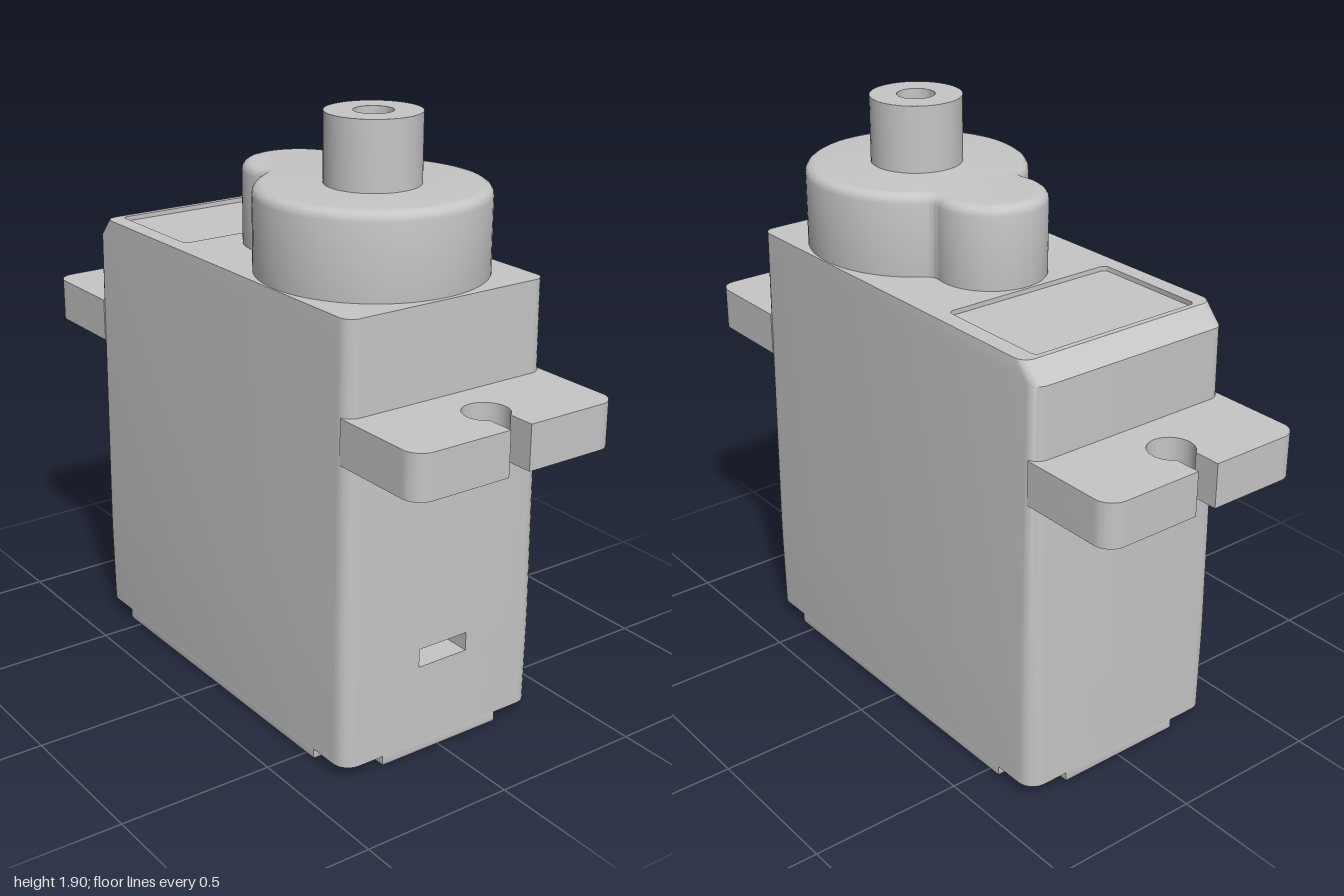
import * as THREE from 'three';
import { toCreasedNormals } from 'three/addons/utils/BufferGeometryUtils.js';

const plastic = new THREE.MeshStandardMaterial({ color: 0xc6c6c6 });
plastic.name = 'grey plastic';

const crease = (geo) => toCreasedNormals(geo.index ? geo.toNonIndexed() : geo, 0.5);

function add(parent, name, geo, x = 0, y = 0, z = 0) {
  const mesh = new THREE.Mesh(geo, plastic);
  mesh.name = name;
  mesh.position.set(x, y, z);
  parent.add(mesh);
  return mesh;
}

// Box turned inside out and left open on its +x side.
function openSlot(w, h, d) {
  const geo = new THREE.BoxGeometry(w, h, d).scale(-1, 1, 1);
  geo.setIndex([...geo.index.array].filter((_, i) => Math.floor(i / 6) !== 1));
  geo.computeVertexNormals();
  return geo;
}

// Extrude a plan shape upwards; the bevel stays inside depth and outside the outline.
function extrudeUp(shape, height, bevel = 0) {
  const geo = new THREE.ExtrudeGeometry(shape, {
    depth: height - 2 * bevel, bevelEnabled: bevel > 0, bevelSize: bevel,
    bevelThickness: bevel, bevelSegments: 4, curveSegments: 32,
  });
  geo.translate(0, 0, bevel);
  geo.rotateX(-Math.PI / 2);
  return crease(geo);
}

// Rounded rectangle section; its first segment spans the side slot.
function section(y, x0, x1, z, r) {
  const pts = [[x1, -0.09], [x1, 0.09]];
  const corners = [[x1 - r, z - r], [x0 + r, z - r], [x0 + r, r - z], [x1 - r, r - z]];
  corners.forEach(([cx, cz], q) => {
    for (let i = 0; i <= 6; i++) {
      const a = (q + i / 6) * Math.PI / 2;
      pts.push([cx + r * Math.cos(a), cz + r * Math.sin(a)]);
    }
  });
  return { y, pts };
}

// Skin between sections: faces outward going up, inward going down.
function loft(rings, skip = () => false) {
  const pos = [];
  for (let i = 0; i < rings.length - 1; i++) {
    const n = rings[i].pts.length;
    for (let j = 0; j < n; j++) {
      if (skip(i, j)) continue;
      const at = (r, k) => [r.pts[k % n][0], r.y, r.pts[k % n][1]];
      const a = at(rings[i], j), b = at(rings[i], j + 1);
      const c = at(rings[i + 1], j + 1), d = at(rings[i + 1], j);
      pos.push(...a, ...d, ...c, ...a, ...c, ...b);
    }
  }
  const geo = new THREE.BufferGeometry();
  geo.setAttribute('position', new THREE.Float32BufferAttribute(pos, 3));
  return crease(geo);
}

const outline = (ring) => new THREE.Shape(ring.pts.map(([x, z]) => new THREE.Vector2(x, z)));
const faceUp = (shape) => new THREE.ShapeGeometry(shape).rotateX(-Math.PI / 2);

function createBody() {
  const body = new THREE.Group();
  body.name = 'body';
  const rings = [
    section(0.04, -0.702, 0.702, 0.366, 0.055),
    section(0.3, -0.703, 0.703, 0.368, 0.053),
    section(0.36, -0.703, 0.703, 0.368, 0.053),
    section(1.37, -0.693, 0.693, 0.358, 0.042),
    section(1.43, -0.638, 0.692, 0.357, 0.04),
  ];
  add(body, 'caseWalls', loft(rings, (i, j) => i === 1 && j === 0));
  add(body, 'cableSlot', openSlot(0.1, 0.06, 0.18), 0.653, 0.33, 0);

  // Top face with the shallow label recess
  const recess = [1.43, 1.415].map((y) => section(y, -0.62, -0.23, 0.302, 0.018));
  const top = outline(rings[4]);
  top.holes.push(outline(recess[0]));
  add(body, 'caseTop', faceUp(top), 0, 1.43, 0);
  add(body, 'labelRecessWalls', loft(recess));
  add(body, 'labelRecessFloor', faceUp(outline(recess[1])), 0, 1.415, 0);

  // Underside with four blind screw holes
  const under = outline(rings[0]);
  const bore = [[0, 0.12], [0.036, 0.12], [0.036, 0]].map((p) => new THREE.Vector2(...p));
  for (const sx of [-1, 1]) for (const sz of [-1, 1]) {
    under.holes.push(new THREE.Path().absarc(sx * 0.622, sz * 0.29, 0.036, 0, Math.PI * 2, true));
    add(body, 'screwHole', crease(new THREE.LatheGeometry(bore, 24)), sx * 0.622, 0.04, sz * 0.29);
  }
  add(body, 'caseUnderside', new THREE.ShapeGeometry(under, 24).rotateX(Math.PI / 2), 0, 0.04, 0);

  // Base plate, notched at the corners
  const b = 0.014, X = 0.7 - b, Z = 0.366 - b, x = 0.55 - b, z = 0.22 - b, r = 0.07;
  const base = new THREE.Shape();
  base.moveTo(X, -z).lineTo(X, z).lineTo(x + r, z);
  base.quadraticCurveTo(x, z, x, z + r).lineTo(x, Z).lineTo(-x, Z).lineTo(-x, z + r);
  base.quadraticCurveTo(-x, z, -x - r, z).lineTo(-X, z).lineTo(-X, -z).lineTo(-x - r, -z);
  base.quadraticCurveTo(-x, -z, -x, -z - r).lineTo(-x, -Z).lineTo(x, -Z).lineTo(x, -z - r);
  base.quadraticCurveTo(x, -z, x + r, -z);
  add(body, 'basePlate', extrudeUp(base, 0.065, b));
  return body;
}

// Mounting ear with a keyhole slot, hollowed from below
function createEar() {
  const ear = new THREE.Group();
  ear.name = 'mountingEar';
  const plan = () => {
    const w = 0.362, r = 0.06, c = 0.855, hole = 0.07, s = 0.037, a = Math.asin(s / hole);
    const p = new THREE.Shape();
    p.moveTo(0.665, -w).lineTo(1 - r, -w);
    p.absarc(1 - r, r - w, r, -Math.PI / 2, 0, false);
    p.lineTo(1, -s);
    p.absarc(c, 0, hole, -a, a - Math.PI * 2, true);
    p.lineTo(1, s);
    p.absarc(1 - r, w - r, r, 0, Math.PI / 2, false);
    p.lineTo(0.665, w);
    return p;
  };
  const rim = plan();
  for (const s of [-1, 1]) {
    const a = Math.asin(0.075 / 0.11);
    const pocket = new THREE.Path();
    pocket.moveTo(0.955, s * 0.075).lineTo(0.955, s * 0.315).lineTo(0.735, s * 0.315).lineTo(0.735, s * 0.075);
    pocket.absarc(0.855, 0, 0.11, s * (Math.PI - a), s * a, s > 0);
    rim.holes.push(pocket);
  }
  add(ear, 'earRim', extrudeUp(rim, 0.1), 0, 1.005, 0);
  add(ear, 'earPlate', extrudeUp(plan(), 0.04), 0, 1.105, 0);
  return ear;
}

// Two-lobed gear cover with filleted waist
function createGearCover() {
  const d = 0.03, bx = 0.327, R = 0.351, sx = -0.045, r = 0.175, f = 0.04;
  const D = bx - sx, p = R + f, q = r + f;
  const fx = sx + (D * D + q * q - p * p) / (2 * D);
  const fy = Math.sqrt(q * q - (fx - sx) ** 2);
  const A = Math.atan2(fy, fx - bx), B = Math.atan2(fy, fx - sx), PI = Math.PI;
  const shape = new THREE.Shape();
  shape.absarc(bx, 0, R - d, -A, A, false);
  shape.absarc(fx, fy, f + d, A + PI, B + PI, true);
  shape.absarc(sx, 0, r - d, B, 2 * PI - B, false);
  shape.absarc(fx, -fy, f + d, PI - B, PI - A, true);
  return extrudeUp(shape, 0.32, d);
}

export function createModel() {
  const model = new THREE.Group();
  model.name = 'servoMotor';
  model.add(createBody());

  const leftEar = createEar();
  const rightEar = createEar();
  rightEar.rotation.y = Math.PI;
  model.add(leftEar, rightEar);

  add(model, 'gearCover', createGearCover(), 0, 1.37, 0);

  // Output shaft with a blind bore
  const profile = [[0.145, 1.66], [0.145, 1.9], [0.06, 1.9], [0.06, 1.75], [0, 1.75]];
  const shaft = new THREE.LatheGeometry(profile.map((p) => new THREE.Vector2(...p)), 48);
  add(model, 'outputShaft', crease(shaft), 0.327, 0, 0);
  return model;
}
